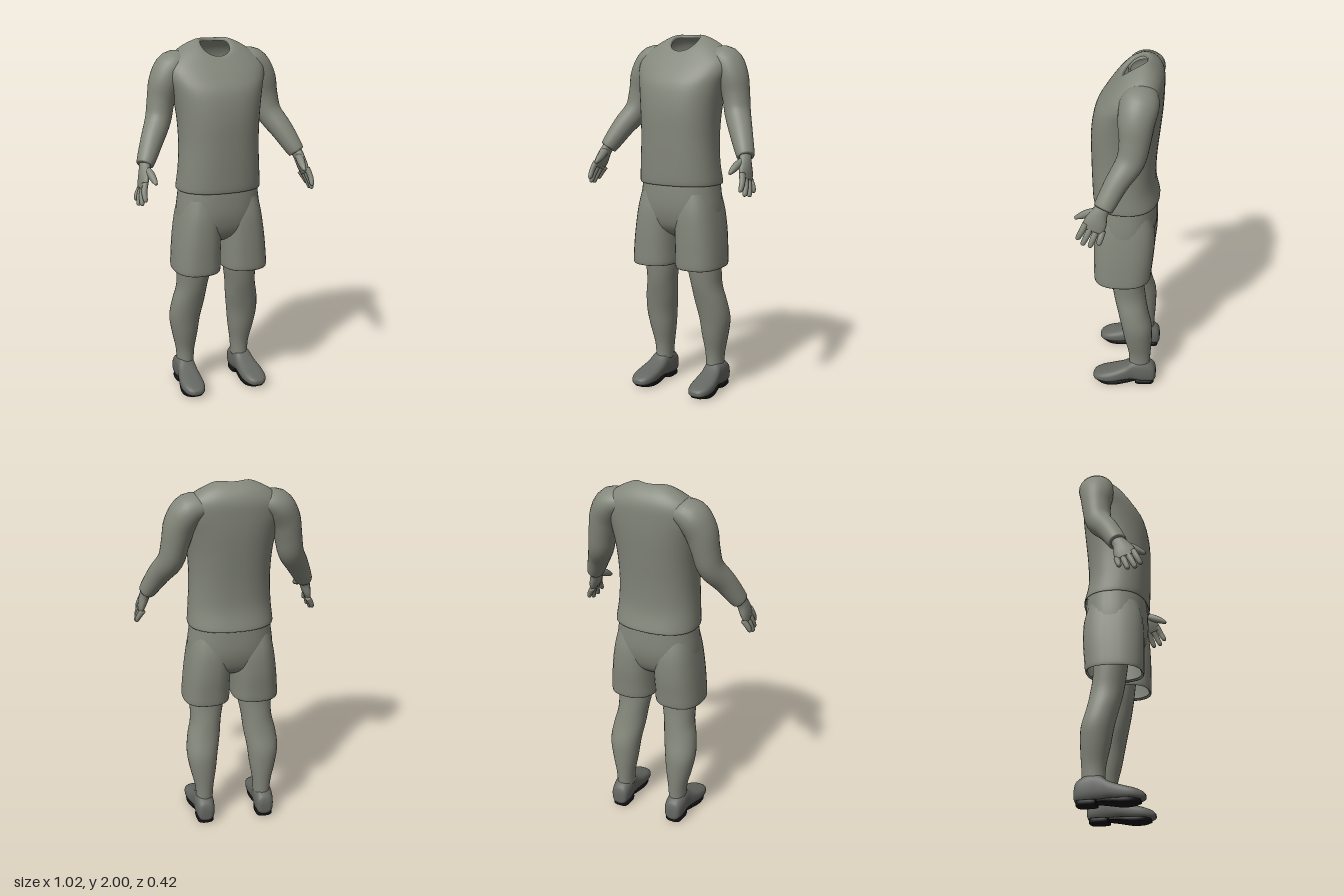
import * as THREE from 'three';

const paint = (name, color) => new THREE.MeshStandardMaterial({ name, color, side: THREE.DoubleSide });
const spow = (v, p) => Math.sign(v) * Math.pow(Math.abs(v), p);

// Smoothly interpolates every column of a list of section rows.
function refine(rows, sub) {
  const out = [], at = i => rows[Math.min(rows.length - 1, Math.max(0, i))];
  for (let i = 0; i < rows.length - 1; i++) {
    for (let k = 0; k < sub; k++) {
      const t = k / sub, t2 = t * t, t3 = t2 * t;
      out.push(rows[i].map((b, j) => {
        const a = at(i - 1)[j], c = at(i + 1)[j], d = at(i + 2)[j];
        return 0.5 * (2 * b + (c - a) * t + (2 * a - 5 * b + 4 * c - d) * t2 + (3 * b - a - 3 * c + d) * t3);
      }));
    }
  }
  out.push(rows[rows.length - 1]);
  return out;
}

// Skins a stack of closed sections; section(rows, i, angle) gives a point.
function loft(name, material, rows, section, { sub = 4, seg = 28, capStart = false, capEnd = false } = {}) {
  const list = refine(rows, sub), pos = [], index = [], n = list.length;
  for (let i = 0; i < n; i++) {
    for (let j = 0; j < seg; j++) pos.push(...section(list, i, j / seg * Math.PI * 2));
  }
  for (let i = 0; i < n - 1; i++) {
    for (let j = 0; j < seg; j++) {
      const a = i * seg + j, b = i * seg + (j + 1) % seg;
      index.push(a, b, a + seg, b, b + seg, a + seg);
    }
  }
  const cap = (ring, flip) => {
    const c = [0, 0, 0], id = pos.length / 3;
    for (let j = 0; j < seg; j++) for (let k = 0; k < 3; k++) c[k] += pos[(ring * seg + j) * 3 + k] / seg;
    pos.push(...c);
    for (let j = 0; j < seg; j++) {
      const a = ring * seg + j, b = ring * seg + (j + 1) % seg;
      index.push(id, flip ? b : a, flip ? a : b);
    }
  };
  if (capStart) cap(0, true);
  if (capEnd) cap(n - 1, false);

  // Turn the faces outward whichever way the sections run
  const mid = new THREE.Vector3(), p = [0, 1, 2].map(() => new THREE.Vector3());
  for (let i = 0; i < pos.length; i += 3) mid.add(p[0].fromArray(pos, i));
  mid.divideScalar(pos.length / 3);
  let volume = 0;
  for (let i = 0; i < index.length; i += 3) {
    p.forEach((v, k) => v.fromArray(pos, index[i + k] * 3).sub(mid));
    volume += p[0].dot(p[1].cross(p[2]));
  }
  if (volume < 0) index.reverse();

  const g = new THREE.BufferGeometry();
  g.setAttribute('position', new THREE.Float32BufferAttribute(pos, 3));
  g.setIndex(index);
  g.computeVertexNormals();
  const mesh = new THREE.Mesh(g, material);
  mesh.name = name;
  return mesh;
}

// Level section: [centreX, halfWidth, zFront, zBack, yFront, yBack, sideLift]
const level = (s = 1, p = 0.85) => (list, i, a) => {
  const [cx, w, zf, zb, yf, yb, lift] = list[i];
  const c = spow(Math.cos(a), p), n = spow(Math.sin(a), p);
  return [s * (cx + w * c), (yf + yb) / 2 + (yf - yb) / 2 * n + lift * c * c, (zf + zb) / 2 + (zf - zb) / 2 * n];
};

// Upright section along z: [z, centreX, halfWidth, yBottom, yTop]
const upright = (s, p) => (list, i, a) => {
  const [z, cx, w, y0, y1] = list[i];
  return [s * (cx + w * spow(Math.cos(a), p)), (y0 + y1) / 2 + (y1 - y0) / 2 * spow(Math.sin(a), p), z];
};

// Limb section square to its path: [x, y, z, radiusAcross, radiusAlongZ]
const limb = s => (list, i, a) => {
  const v = r => new THREE.Vector3(r[0], r[1], r[2]);
  const t = v(list[Math.min(i + 1, list.length - 1)]).sub(v(list[Math.max(i - 1, 0)])).normalize();
  const b = new THREE.Vector3(0, 0, 1).addScaledVector(t, -t.z).normalize();
  const q = v(list[i]).addScaledVector(b.clone().cross(t), Math.cos(a) * list[i][3])
    .addScaledVector(b, Math.sin(a) * list[i][4]);
  return [s * q.x, q.y, q.z];
};

export function createModel() {
  const model = new THREE.Group();
  model.name = 'headlessSportsFigure';
  const body = paint('greyGreen', 0x84877b);
  const boot = paint('darkGrey', 0x656762);
  const black = paint('soleBlack', 0x141414);

  // Shirt, open at the hem and at the tilted neckline
  model.add(loft('shirt', body, [
    [0, 0.225, 0.155, -0.185, 1.205, 1.205, 0],
    [0, 0.235, 0.167, -0.195, 1.2, 1.2, 0],
    [0, 0.226, 0.172, -0.172, 1.31, 1.31, 0],
    [0, 0.22, 0.175, -0.175, 1.45, 1.45, 0],
    [0, 0.228, 0.174, -0.19, 1.6, 1.6, 0],
    [0, 0.25, 0.152, -0.203, 1.73, 1.73, 0],
    [0, 0.275, 0.105, -0.207, 1.81, 1.83, 0],
    [0, 0.262, 0.068, -0.205, 1.86, 1.9, 0.005],
    [0, 0.19, 0.04, -0.185, 1.895, 1.95, 0.022],
    [0, 0.12, 0.025, -0.15, 1.91, 1.985, 0.028],
    [0, 0.086, 0.012, -0.122, 1.912, 1.997, 0.022],
    [0, 0.08, 0.004, -0.115, 1.9, 1.98, 0.02],
  ], level(), { seg: 48 }));

  // Seat of the shorts
  model.add(loft('shortsSeat', body, [
    [0, 0.215, 0.148, -0.178, 1.24, 1.24, 0],
    [0, 0.224, 0.156, -0.183, 1.17, 1.17, 0],
    [0, 0.238, 0.155, -0.182, 1.05, 1.05, 0],
    [0, 0.23, 0.125, -0.15, 0.95, 0.95, 0],
    [0, 0.15, 0.06, -0.09, 0.9, 0.9, 0],
  ], level(), { seg: 40, capEnd: true }));

  for (const [side, s] of [['left', 1], ['right', -1]]) {
    const add = (part, ...rest) => model.add(loft(side + part, ...rest));

    // Leg of the shorts with a turned-in hem
    add('ShortsLeg', body, [
      [0.115, 0.1, 0.13, -0.15, 1.15, 1.15, 0],
      [0.12, 0.117, 0.15, -0.175, 1.05, 1.05, 0],
      [0.129, 0.126, 0.156, -0.178, 0.93, 0.93, 0],
      [0.136, 0.13, 0.156, -0.168, 0.82, 0.82, 0],
      [0.139, 0.131, 0.154, -0.16, 0.735, 0.745, 0],
      [0.139, 0.119, 0.14, -0.147, 0.74, 0.75, 0],
    ], level(s, 0.8));

    // Leg from thigh to ankle
    add('Leg', body, [
      [0.132, 0.105, 0.085, -0.125, 0.95, 0.95, 0],
      [0.138, 0.098, 0.062, -0.12, 0.74, 0.74, 0],
      [0.147, 0.087, 0.045, -0.133, 0.62, 0.62, 0],
      [0.163, 0.092, 0.022, -0.15, 0.52, 0.52, 0],
      [0.176, 0.088, 0.0, -0.174, 0.42, 0.42, 0],
      [0.174, 0.074, -0.018, -0.176, 0.32, 0.32, 0],
      [0.17, 0.053, -0.042, -0.17, 0.21, 0.21, 0],
      [0.17, 0.047, -0.045, -0.165, 0.12, 0.12, 0],
    ], level(s, 0.95), { capStart: true, capEnd: true });

    // Boot and its two sole pads
    add('Boot', boot, [
      [-0.203, 0.174, 0.025, 0.035, 0.09],
      [-0.188, 0.174, 0.047, 0.016, 0.132],
      [-0.13, 0.175, 0.056, 0.012, 0.164],
      [-0.07, 0.177, 0.054, 0.02, 0.16],
      [-0.02, 0.181, 0.06, 0.022, 0.125],
      [0.05, 0.186, 0.067, 0.014, 0.098],
      [0.11, 0.188, 0.063, 0.014, 0.08],
      [0.15, 0.188, 0.045, 0.018, 0.063],
      [0.166, 0.188, 0.02, 0.026, 0.048],
    ], upright(s, 0.75), { capStart: true, capEnd: true });
    const caps = { seg: 24, capStart: true, capEnd: true };
    add('HeelSole', black, [
      [-0.192, 0.174, 0.025, 0.003, 0.03], [-0.175, 0.174, 0.045, 0, 0.03],
      [-0.11, 0.175, 0.05, 0, 0.03], [-0.085, 0.176, 0.045, 0.003, 0.03],
    ], upright(s, 0.4), caps);
    add('FrontSole', black, [
      [-0.085, 0.176, 0.035, 0.015, 0.03], [-0.03, 0.181, 0.05, 0.01, 0.03],
      [0.04, 0.186, 0.06, 0, 0.028], [0.1, 0.188, 0.056, 0.001, 0.028],
      [0.142, 0.188, 0.032, 0.008, 0.03],
    ], upright(s, 0.4), caps);

    // Sleeve from shoulder to cuff
    add('Sleeve', body, [
      [0.14, 1.875, -0.1, 0.055, 0.08],
      [0.225, 1.858, -0.097, 0.085, 0.1],
      [0.276, 1.78, -0.085, 0.086, 0.094],
      [0.302, 1.68, -0.08, 0.075, 0.08],
      [0.325, 1.58, -0.06, 0.07, 0.073],
      [0.38, 1.485, 0.003, 0.062, 0.061],
      [0.438, 1.375, 0.062, 0.047, 0.052],
      [0.437, 1.377, 0.06, 0.036, 0.04],
    ], limb(s));

    // Palm, fingers and thumb
    const hand = { seg: 14, capStart: true, capEnd: true };
    add('Palm', body, [
      [0.432, 1.4, 0.045, 0.03, 0.036],
      [0.448, 1.35, 0.08, 0.028, 0.043],
      [0.463, 1.295, 0.103, 0.024, 0.06],
      [0.474, 1.255, 0.118, 0.015, 0.056],
    ], limb(s), hand);
    const tips = [[0.482, 1.2, 0.195], [0.493, 1.175, 0.168], [0.5, 1.168, 0.13], [0.5, 1.185, 0.085]];
    tips.forEach(([x, y, z], i) => {
      const root = [0.467, 1.292 - i * 0.013, 0.152 - i * 0.029];
      const mid = [(root[0] + x) / 2 + 0.005, (root[1] + y) / 2, (root[2] + z) / 2];
      add('Finger' + (i + 1), body, [
        [...root, 0.016, 0.017], [...mid, 0.015, 0.016],
        [x - 0.002, y + 0.01, z - 0.003, 0.012, 0.013], [x, y, z, 0.005, 0.006],
      ], limb(s), hand);
    });
    add('Thumb', body, [
      [0.445, 1.355, 0.085, 0.02, 0.02], [0.434, 1.335, 0.135, 0.021, 0.023],
      [0.428, 1.312, 0.18, 0.017, 0.018], [0.426, 1.295, 0.212, 0.008, 0.008],
    ], limb(s), hand);
  }
  return model;
}
